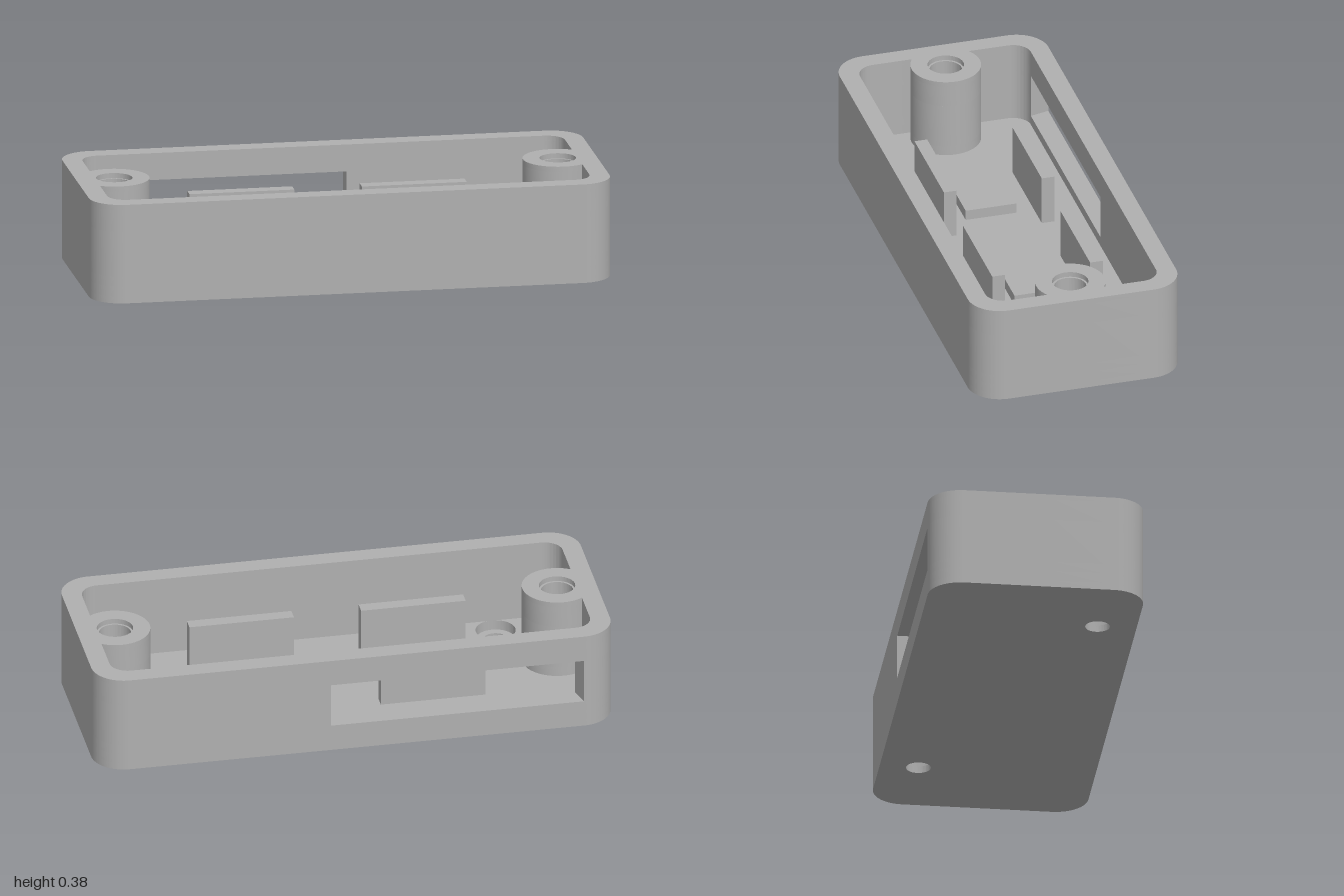
import * as THREE from 'three';
import { toCreasedNormals } from 'three/addons/utils/BufferGeometryUtils.js';

// Plan outlines are drawn in (x, -z) and extruded upwards.
const HALF_X = 1, HALF_Z = 0.41, WALL = 0.074;
const FLOOR = 0.067, HEIGHT = 0.385;
const WINDOW = { left: -0.13, right: 0.1, bottom: 0.105, top: 0.28 };
const POST = { x: 0.852, radius: 0.134 };
const SCREW = { x: 0.667, y: 0.262 };

// Rounded rectangle, counterclockwise from one window edge round to the other;
// with posts, the two ends bulge inwards round the screw posts.
function outline(hx, hy, r, withPosts) {
  const path = new THREE.Path();
  const q = Math.PI / 2;
  const a = Math.acos((POST.x - hx) / POST.radius);
  path.moveTo(WINDOW.left, hy);
  path.absarc(-hx + r, hy - r, r, q, 2 * q, false);
  if (withPosts) path.absarc(-POST.x, 0, POST.radius, a, -a, true);
  path.absarc(-hx + r, -hy + r, r, 2 * q, 3 * q, false);
  path.absarc(hx - r, -hy + r, r, 3 * q, 4 * q, false);
  if (withPosts) path.absarc(POST.x, 0, POST.radius, 2 * q + a, 2 * q - a, true);
  path.absarc(hx - r, hy - r, r, 0, q, false);
  path.lineTo(WINDOW.right, hy);
  return path.getPoints(20);
}

function circle(x, y, r) {
  const path = new THREE.Path();
  path.absarc(x, y, r, 0, Math.PI * 2, false);
  return path;
}

export function createModel() {
  const model = new THREE.Group();
  const grey = new THREE.MeshStandardMaterial({ color: 0xb0b0b0 });
  grey.name = 'plain grey';

  function addLayer(name, shape, y0, y1) {
    const geometry = new THREE.ExtrudeGeometry(shape, { depth: y1 - y0, bevelEnabled: false, curveSegments: 40 });
    geometry.rotateX(-Math.PI / 2);
    geometry.translate(0, y0, 0);
    const mesh = new THREE.Mesh(toCreasedNormals(geometry, 0.6), grey);
    mesh.name = name;
    model.add(mesh);
  }

  function addBox(name, sx, sy, sz, x, z) {
    const mesh = new THREE.Mesh(new THREE.BoxGeometry(sx, sy, sz), grey);
    mesh.name = name;
    mesh.position.set(x, FLOOR + sy / 2, z);
    model.add(mesh);
  }

  const outer = outline(HALF_X, HALF_Z, 0.125, false);
  const inner = outline(HALF_X - WALL, HALF_Z - WALL, 0.07, true);

  // Floor with two counterbored mounting holes
  function floorShape(r) {
    const shape = new THREE.Shape(outer);
    shape.holes.push(circle(SCREW.x, SCREW.y, r), circle(-SCREW.x, -SCREW.y, r));
    return shape;
  }
  addLayer('floorUnderside', floorShape(0.047), 0, 0.027);
  addLayer('floorTop', floorShape(0.076), 0.027, FLOOR);

  // Walls and screw posts, open at the back between the window edges if asked
  function wallShape(holeRadius, open) {
    const shape = new THREE.Shape(open ? [...outer, ...inner.slice().reverse()] : outer);
    if (!open) shape.holes.push(new THREE.Path(inner));
    for (const side of [-1, 1]) shape.holes.push(circle(side * POST.x, 0, holeRadius));
    return shape;
  }
  addLayer('wallBelowWindow', wallShape(0.061, false), FLOOR, WINDOW.bottom);
  addLayer('wallBesideWindow', wallShape(0.061, true), WINDOW.bottom, WINDOW.top);
  addLayer('wallAboveWindow', wallShape(0.061, false), WINDOW.top, 0.365);
  addLayer('rim', wallShape(0.069, false), 0.365, HEIGHT);

  // Holding rails and square pads on the floor
  for (const side of [-1, 1]) {
    for (const z of [-0.195, 0.19]) addBox('rail', 0.403, 0.195, 0.05, side * 0.331, z);
    addBox('squarePad', 0.205, 0.04, 0.2, side * 0.334, 0);
  }

  return model;
}
